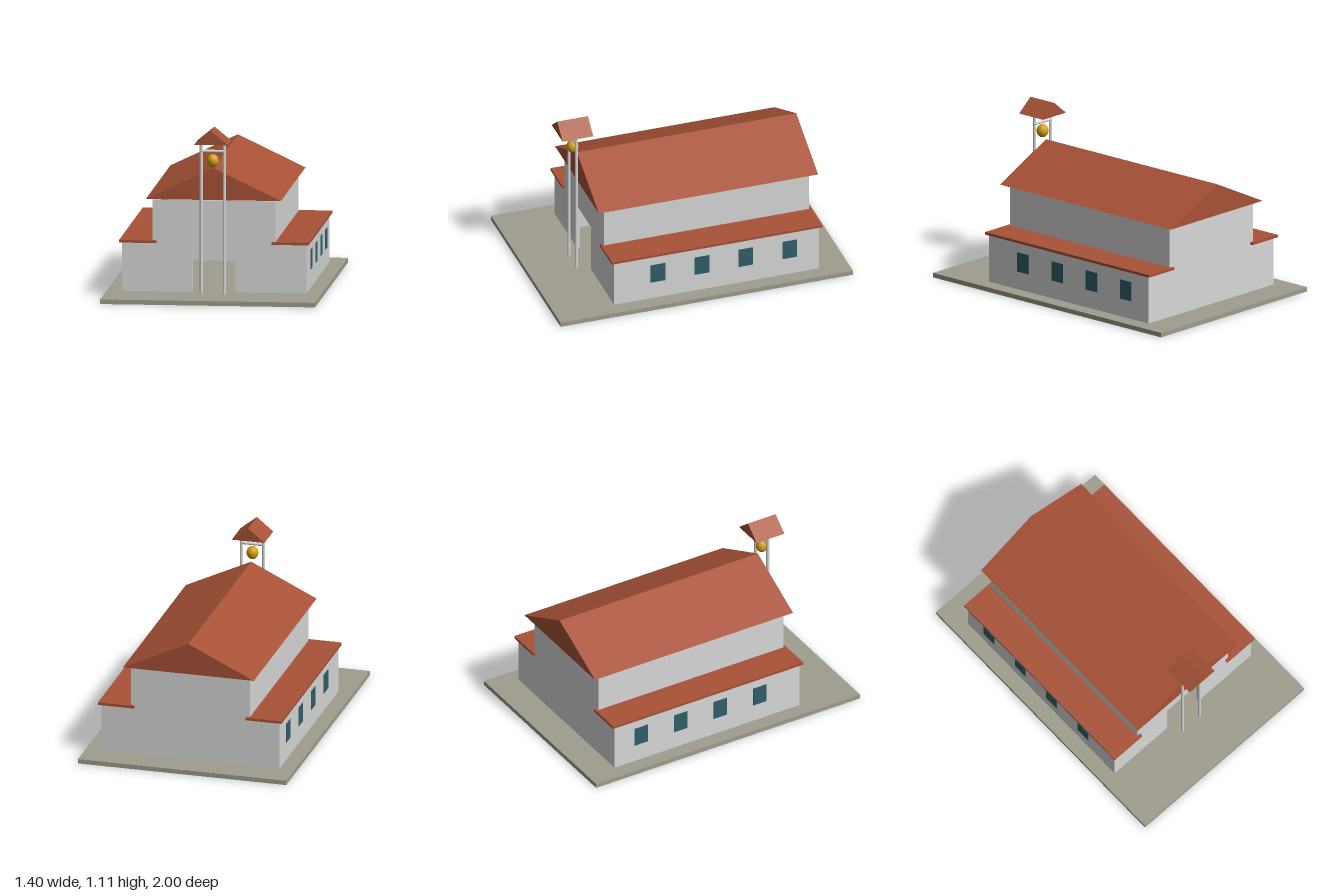
import * as THREE from 'three';

const material = (name, color) => {
  const m = new THREE.MeshStandardMaterial({ color });
  m.name = name;
  return m;
};

export function createModel() {
  const church = new THREE.Group();
  church.name = 'church';
  const wall = material('wall plaster', 0xd8d8d8);
  const tile = material('roof tile', 0xa85236);
  const stone = material('paving stone', 0x9f9d8e);
  const glass = material('window glass', 0x2f5f6a);
  const brass = material('bell brass', 0xd4a010);

  const add = (name, geometry, mat, x = 0, y = 0, z = 0) => {
    const mesh = new THREE.Mesh(geometry, mat);
    mesh.name = name;
    mesh.position.set(x, y, z);
    church.add(mesh);
    return mesh;
  };
  // Box given by its lower and upper corners
  const box = (name, mat, [x0, y0, z0], [x1, y1, z1]) =>
    add(name, new THREE.BoxGeometry(x1 - x0, y1 - y0, z1 - z0), mat,
      (x0 + x1) / 2, (y0 + y1) / 2, (z0 + z1) / 2);
  // Solid gable roof running along z
  const gable = (name, halfWidth, y0, y1, z0, z1) => {
    const s = new THREE.Shape([
      new THREE.Vector2(-halfWidth, y0), new THREE.Vector2(halfWidth, y0), new THREE.Vector2(0, y1)]);
    return add(name, new THREE.ExtrudeGeometry(s, { depth: z1 - z0, bevelEnabled: false }), tile, 0, 0, z0);
  };

  box('base', stone, [-0.7, 0, -1], [0.7, 0.03, 1]);

  // Hollow nave: front wall with an open doorway, back wall and side walls
  const front = new THREE.Shape([
    [-0.4, 0.03], [-0.14, 0.03], [-0.14, 0.35], [0.14, 0.35],
    [0.14, 0.03], [0.4, 0.03], [0.4, 0.63], [-0.4, 0.63],
  ].map(([x, y]) => new THREE.Vector2(x, y)));
  add('frontWall', new THREE.ExtrudeGeometry(front, { depth: 0.02, bevelEnabled: false }), wall, 0, 0, 0.58);
  box('backWall', wall, [-0.4, 0.03, -0.8], [0.4, 0.63, -0.78]);
  gable('naveRoof', 0.44, 0.64, 0.85, -0.85, 0.65);

  for (const side of [-1, 1]) {
    const label = side > 0 ? 'left' : 'right';
    const at = (name, mat, x0, x1, y0, y1, z0, z1) =>
      box(label + name, mat, [Math.min(side * x0, side * x1), y0, z0], [Math.max(side * x0, side * x1), y1, z1]);
    at('NaveWall', wall, 0.38, 0.4, 0.03, 0.63, -0.78, 0.58);
    // Side aisle with its flat roof and row of windows
    at('Aisle', wall, 0.4, 0.6, 0.03, 0.35, -0.8, 0.6);
    at('AisleRoof', tile, 0.375, 0.617, 0.348, 0.365, -0.82, 0.62);
    for (let i = 0; i < 4; i++) {
      const z = 0.3 - i * 0.3;
      at('Window' + (i + 1), glass, 0.598, 0.603, 0.15, 0.28, z - 0.05, z + 0.05);
    }
    // Bell tower post
    add(label + 'BellPost', new THREE.CylinderGeometry(0.01, 0.01, 1, 16), wall, side * 0.075, 0.53, 0.68);
  }

  // Bell, its crossbar and little roof
  const bar = add('bellCrossbar', new THREE.CylinderGeometry(0.01, 0.01, 0.15, 16), wall, 0, 0.964, 0.68);
  bar.rotation.z = Math.PI / 2;
  const bell = add('bell', new THREE.SphereGeometry(0.039, 20, 14), brass, 0, 0.902, 0.68);
  bell.scale.y = 1.12;
  gable('bellRoof', 0.11, 1.02, 1.11, 0.575, 0.785);

  return church;
}
